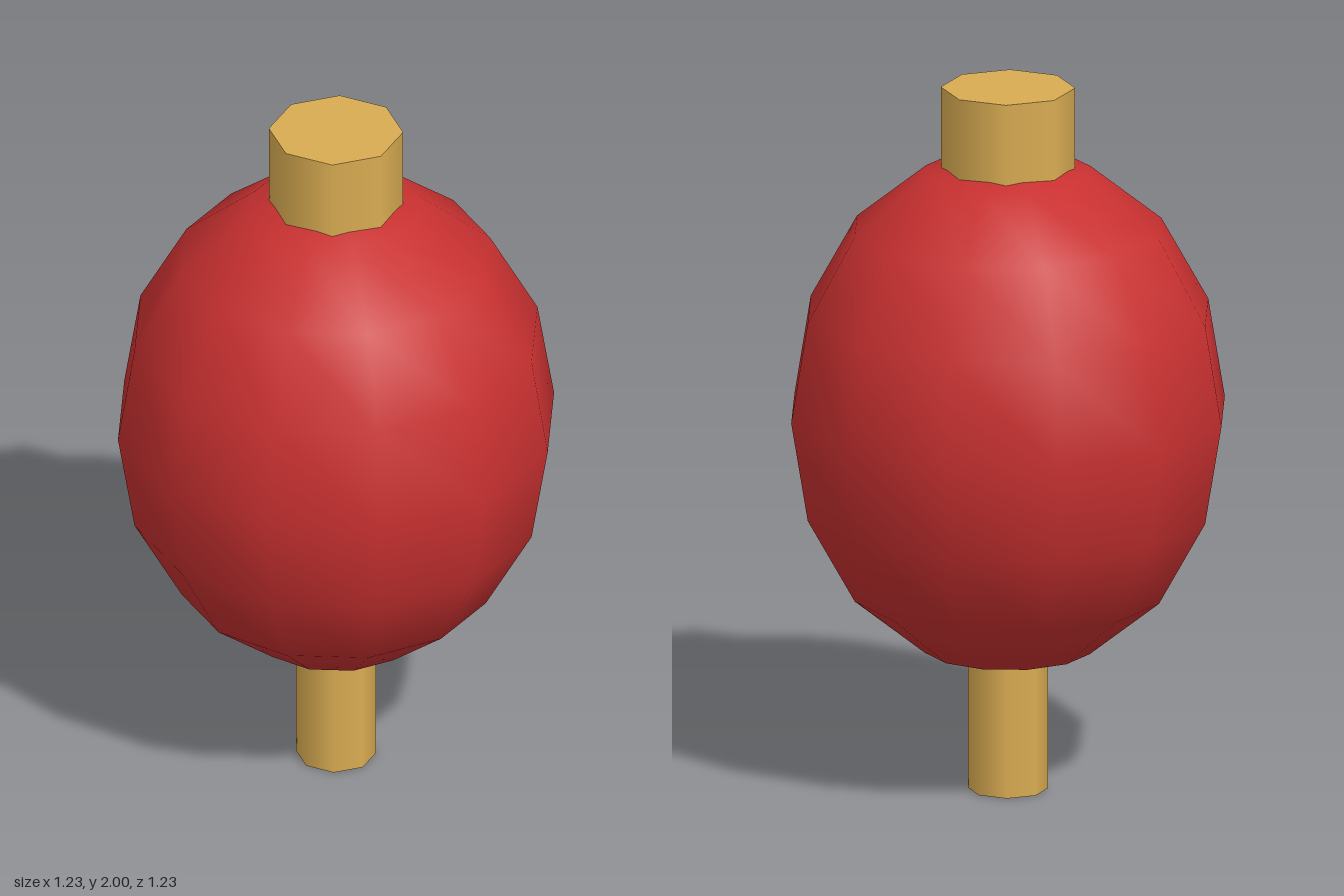
import * as THREE from 'three';

export function createModel() {
  const model = new THREE.Group();
  model.name = 'lantern';

  const red = new THREE.MeshStandardMaterial({ color: 0xc83030 });
  red.name = 'red paper';
  const gold = new THREE.MeshStandardMaterial({ color: 0xd9ac52 });
  gold.name = 'gold trim';

  const add = (name, geometry, material, y) => {
    const mesh = new THREE.Mesh(geometry, material);
    mesh.name = name;
    mesh.position.y = y;
    model.add(mesh);
  };

  // eight-sided post between two heights
  const post = (name, radius, bottom, top) =>
    add(name, new THREE.CylinderGeometry(radius, radius, top - bottom, 8), gold, (bottom + top) / 2);

  // stretched low-poly globe
  add('body', new THREE.SphereGeometry(0.613, 12, 8).scale(1, 1.2, 1), red, 1.08);

  // cap on top and tassel below, both sunk slightly into the globe
  post('cap', 0.185, 1.77, 2);
  post('tassel', 0.11, 0, 0.4);

  return model;
}
